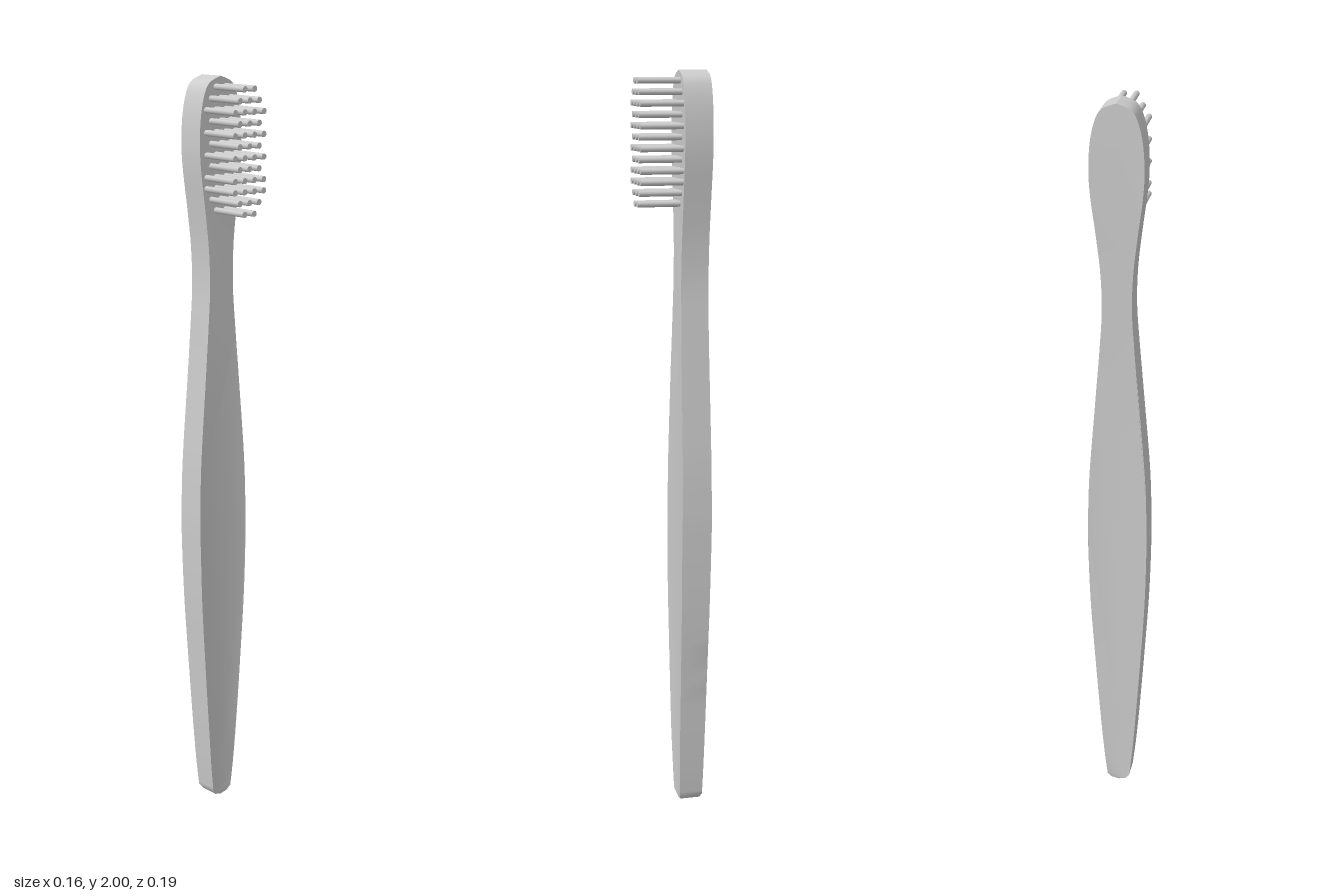
import * as THREE from 'three';
import { toCreasedNormals } from 'three/addons/utils/BufferGeometryUtils.js';

const material = new THREE.MeshStandardMaterial({ color: 0xcccccc, roughness: 0.7 });

// Piecewise-linear lookup in a list of [y, value]
function sample(table, y) {
  for (let i = 1; i < table.length; i++) {
    const [y0, a] = table[i - 1], [y1, b] = table[i];
    if (y <= y1) return THREE.MathUtils.mapLinear(Math.max(y, y0), y0, y1, a, b);
  }
  return table[table.length - 1][1];
}

// Handle, neck and head: one outline with gently varying thickness
function createBody() {
  // [half width, height], from the foot up to the tip
  const side = [
    [0.031, 0.02], [0.04, 0.1], [0.05, 0.22], [0.064, 0.42], [0.075, 0.6], [0.08, 0.78],
    [0.079, 0.88], [0.074, 1.0], [0.058, 1.2], [0.045, 1.36], [0.039, 1.46], [0.042, 1.56],
    [0.053, 1.66], [0.066, 1.76], [0.07, 1.83], [0.066, 1.9], [0.054, 1.955], [0.036, 1.985], [0, 2],
  ].map(([x, y]) => new THREE.Vector2(x, y));
  const right = new THREE.SplineCurve(side).getPoints(90);
  const foot = [[-0.02, 0.006], [0, 0], [0.02, 0.006]].map(([x, y]) => new THREE.Vector2(x, y));
  const left = right.slice(0, -1).reverse().map((p) => new THREE.Vector2(-p.x, p.y));
  const shape = new THREE.Shape([...foot, ...right, ...left]);

  const geometry = new THREE.ExtrudeGeometry(shape, { depth: 1, steps: 1, bevelEnabled: false });
  const front = [[0, -0.024], [0.02, -0.017], [0.2, -0.013], [0.7, -0.01], [1.2, -0.014], [1.6, -0.019], [2, -0.02]];
  const back = [[0, -0.074], [0.02, -0.081], [0.4, -0.086], [0.8, -0.092], [1.3, -0.09], [1.8, -0.095], [2, -0.095]];
  const pos = geometry.attributes.position;
  for (let i = 0; i < pos.count; i++) {
    pos.setZ(i, sample(pos.getZ(i) > 0.5 ? front : back, pos.getY(i)));
  }
  const body = new THREE.Mesh(toCreasedNormals(geometry, 0.6), material);
  body.name = 'handleAndHead';
  return body;
}

// Staggered rows of thin round bristles on the front of the head
function createBristles() {
  const group = new THREE.Group();
  group.name = 'bristles';
  const geometry = new THREE.CylinderGeometry(0.008, 0.008, 0.125, 10).rotateX(Math.PI / 2);
  const rows = [2, 3, 4, 3, 4, 3, 4, 3, 4, 4, 3, 2];
  rows.forEach((count, row) => {
    for (let i = 0; i < count; i++) {
      const bristle = new THREE.Mesh(geometry, material);
      bristle.name = 'bristle';
      bristle.position.set((i - (count - 1) / 2) * 0.032, 1.973 - row * 0.0287, 0.0325);
      group.add(bristle);
    }
  });
  return group;
}

export function createModel() {
  const model = new THREE.Group();
  model.name = 'toothbrush';
  model.add(createBody(), createBristles());
  return model;
}
